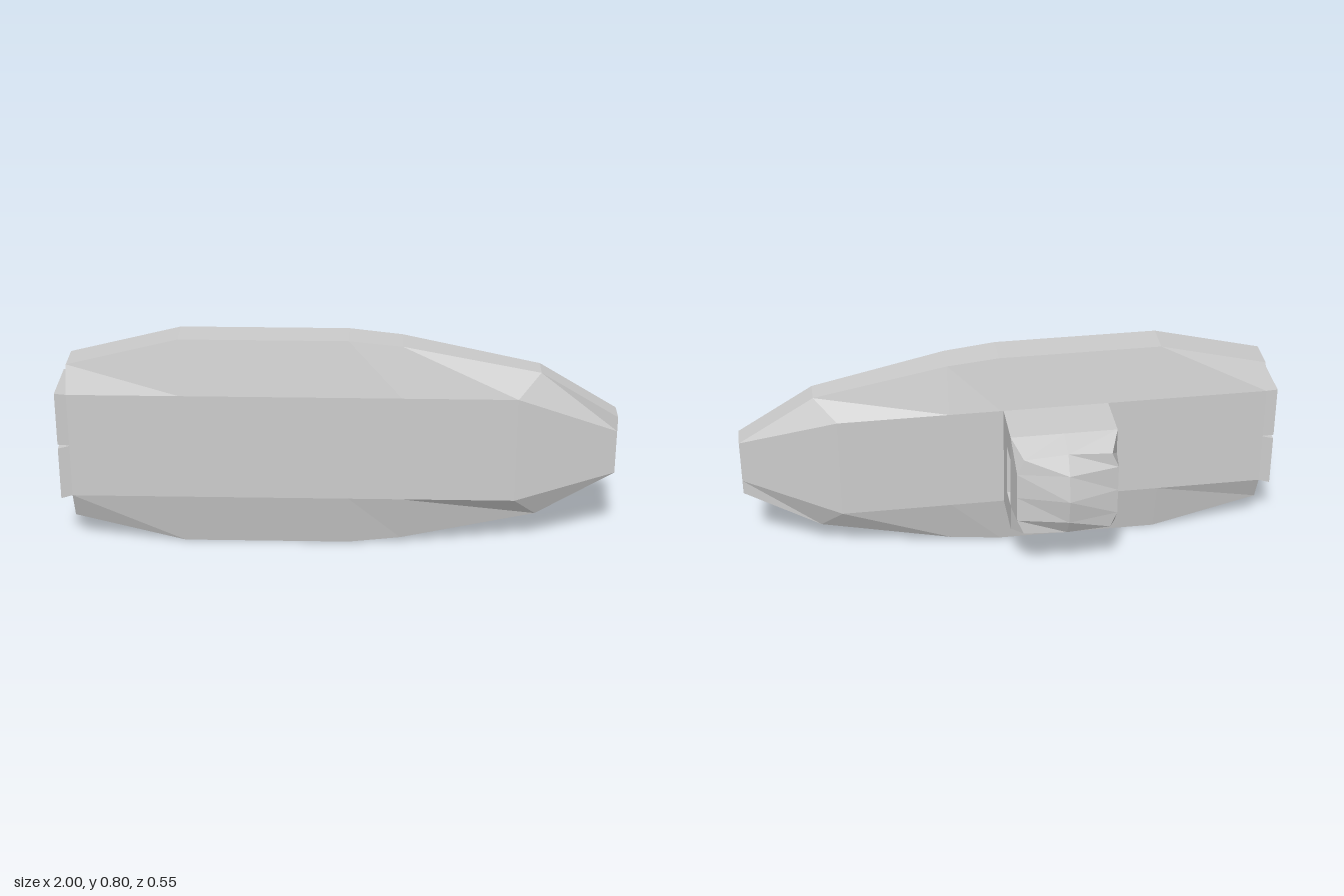
import * as THREE from 'three';

const material = new THREE.MeshStandardMaterial({ color: 0xcccccc, flatShading: true });

// Skins a list of rings; points run counter-clockwise seen from the last ring's side.
function loft(rings, capStart = true, capEnd = true) {
  const pos = [];
  const tri = (a, b, c) => pos.push(...a, ...b, ...c);
  const n = rings[0].length;
  for (let k = 0; k < rings.length - 1; k++) {
    const a = rings[k], b = rings[k + 1];
    for (let i = 0; i < n; i++) {
      const j = (i + 1) % n;
      tri(a[i], a[j], b[j]);
      tri(a[i], b[j], b[i]);
    }
  }
  const first = rings[0], last = rings[rings.length - 1];
  for (let i = 1; i < n - 1; i++) {
    if (capStart) tri(first[0], first[i + 1], first[i]);
    if (capEnd) tri(last[0], last[i], last[i + 1]);
  }
  const g = new THREE.BufferGeometry();
  g.setAttribute('position', new THREE.Float32BufferAttribute(pos, 3));
  g.computeVertexNormals();
  return g;
}

function add(parent, name, geometry) {
  const mesh = new THREE.Mesh(geometry, material);
  mesh.name = name;
  parent.add(mesh);
  return mesh;
}

const CY = 0.4, CZ = 0.163;

// Eight-sided hull section: rim (x, half height, half width), side panel (x, half height, half width)
function hullRing([xr, h, e, xp, f, w]) {
  return [
    [xr, h, -e], [xr, h, e], [xp, f, w], [xp, -f, w],
    [xr, -h, e], [xr, -h, -e], [xp, -f, -w], [xp, f, -w],
  ].map(([x, y, z]) => [x, CY + y, CZ + z]);
}

function rect(x, y0, y1, z0, z1) {
  return [[x, y1, z0], [x, y1, z1], [x, y0, z1], [x, y0, z0]];
}

// Twelve-point outline of the tower: half width, corner half width, top half height at middle and corner
function towerRing(w, cw, top, corner, z) {
  const right = [[cw, corner], [w, 0.1], [w, 0], [w, -0.1], [cw, -corner]];
  const left = right.map(([x, y]) => [-x, -y]);
  return [[0, top], ...right, [0, -top], ...left].map(([x, y]) => [x, y, z]);
}

export function createModel() {
  const model = new THREE.Group();
  model.name = 'spaceship';

  // Hull tapering to a blunt nose
  add(model, 'hull', loft([
    [-0.96, 0.3, 0.06, -0.96, 0.2, 0.101],
    [-0.56, 0.4, 0.06, -0.56, 0.2, 0.101],
    [0.04, 0.4, 0.06, 0.04, 0.2, 0.101],
    [0.23, 0.38, 0.057, 0.23, 0.2, 0.101],
    [0.72, 0.28, 0.043, 0.64, 0.2, 0.101],
    [1, 0.11, 0.043, 1, 0.055, 0.043],
  ].map(hullRing)));

  // Two flared engine blocks, mirrored about the mid height
  for (const [name, s] of [['upperEngine', 1], ['lowerEngine', -1]]) {
    const ring = (x, a, b, dz) => {
      const ys = [CY + s * a, CY + s * b].sort((p, q) => p - q);
      return rect(x, ys[0], ys[1], CZ - dz, CZ + dz);
    };
    add(model, name, loft([ring(-1, 0.008, 0.208, 0.11), ring(-0.96, 0.001, 0.2, 0.101)]));
  }

  // Tower on the back of the hull
  const tower = new THREE.Group();
  tower.name = 'tower';
  tower.position.set(-0.165, CY, 0);
  model.add(tower);

  // Half of the tower with the hangar opening in its side
  const side = new THREE.Shape();
  side.moveTo(-0.07, -0.2).lineTo(0.122, -0.2).lineTo(0.122, 0.2).lineTo(-0.07, 0.2).closePath();
  const opening = new THREE.Path();
  opening.moveTo(0.028, -0.1).lineTo(0.028, 0.1).lineTo(0.12, 0.1).lineTo(0.12, -0.1).closePath();
  side.holes.push(opening);
  const openHalf = new THREE.ExtrudeGeometry(side, { depth: 0.195, bevelEnabled: false });
  openHalf.rotateY(Math.PI / 2);
  add(tower, 'hangarSide', openHalf);

  // Solid half
  const solid = add(tower, 'solidSide', new THREE.BoxGeometry(0.195, 0.4, 0.192));
  solid.position.set(-0.0975, 0, -0.026);

  // Chamfer and faceted dome closing on a bent centre ridge
  const edge = towerRing(0.185, 0.16, 0.17, 0.16, -0.215);
  const ridge = edge.map(([, y], i) => {
    const corner = [0, 1, 5, 6, 7, 11].includes(i);
    if (corner) return [0, Math.sign(y) * 0.17, -0.215];
    return [0, y, Math.abs(y) > 0.05 ? -0.255 : -0.273];
  });
  add(tower, 'dome', loft([towerRing(0.195, 0.195, 0.2, 0.2, -0.122), edge, ridge], false, false));

  return model;
}
